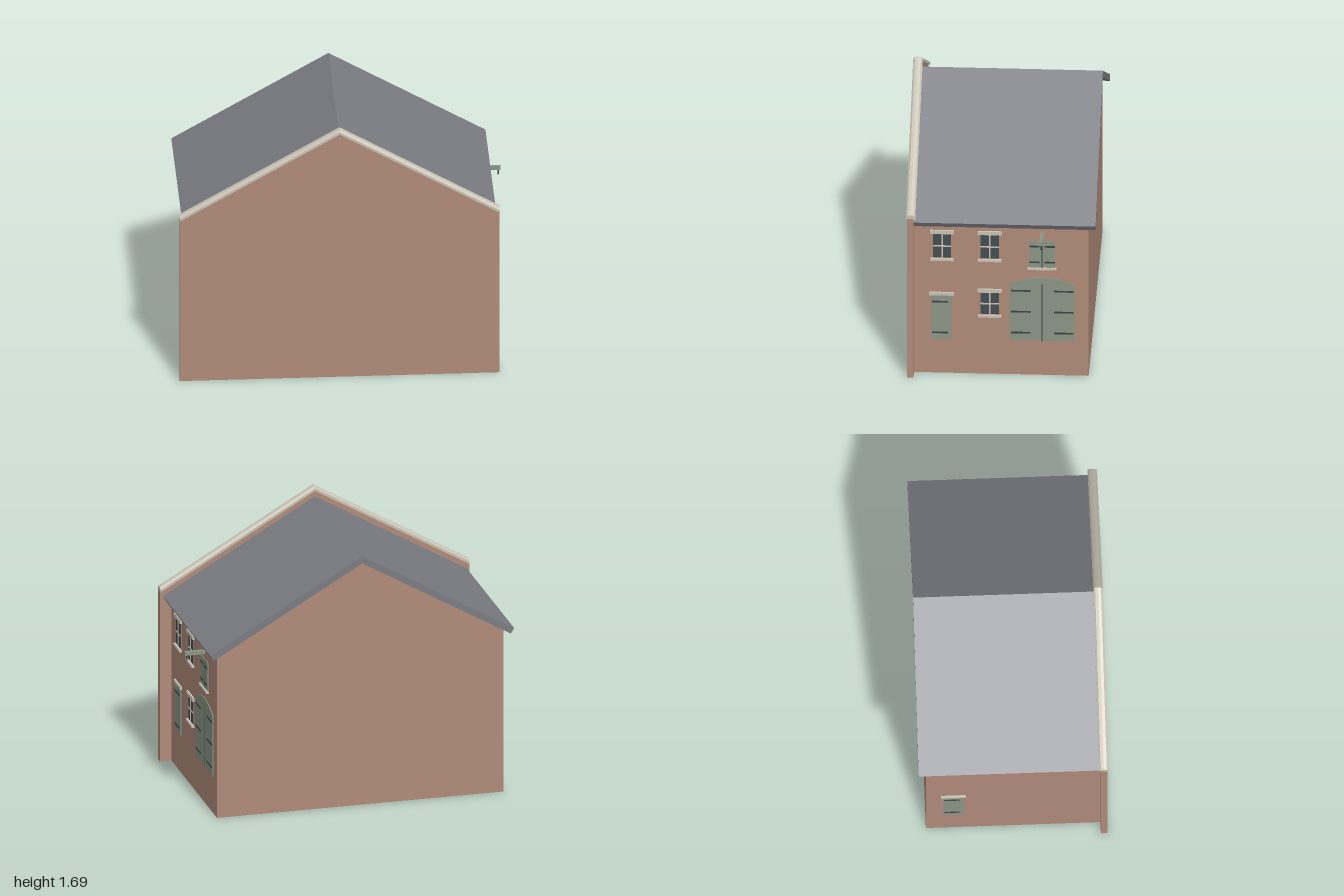
import * as THREE from 'three';

const C = -0.0275;      // centre of the house in x
const SLOPE = 0.58;     // roof pitch
const WALL = 0.9;       // half width of the walls

const mat = (name, color) => {
  const m = new THREE.MeshStandardMaterial({ color });
  m.name = name;
  return m;
};

export function createModel() {
  const brick = mat('brick', 0xb08a79);
  const slate = mat('slate', 0x7b7c83);
  const stone = mat('stone', 0xc8c3b4);
  const green = mat('greenPaint', 0x8a9585);
  const glass = mat('glass', 0x444d52);
  const iron = mat('iron', 0x3c4445);

  const house = new THREE.Group();
  house.name = 'house';
  house.position.x = C;

  const add = (parent, name, geometry, material) => {
    const mesh = new THREE.Mesh(geometry, material);
    mesh.name = name;
    parent.add(mesh);
    return mesh;
  };
  const group = (parent, name) => {
    const g = new THREE.Group();
    g.name = name;
    parent.add(g);
    return g;
  };
  const polygon = pts => new THREE.Shape(pts.map(p => new THREE.Vector2(...p)));
  const extrude = (shape, depth, steps = 1) =>
    new THREE.ExtrudeGeometry(shape, { depth, steps, bevelEnabled: false, curveSegments: 16 });

  // Gable-shaped slab between two z positions
  const gable = (name, half, apex, z0, z1) => {
    const eave = apex - SLOPE * half;
    const shape = polygon([[-half, 0], [half, 0], [half, eave], [0, apex], [-half, eave]]);
    add(house, name, extrude(shape, z1 - z0).translate(0, 0, z0), brick);
  };

  // Hollow brick shell, open underneath
  gable('backWall', WALL, 1.573, -0.53, -0.49);
  gable('frontWall', WALL, 1.573, 0.49, 0.53);
  for (const s of [1, -1]) {
    add(house, s > 0 ? 'leftWall' : 'rightWall',
      new THREE.BoxGeometry(0.04, 1.051, 0.98).translate(s * (WALL - 0.02), 0.5255, 0), brick);
  }

  // Roof: folded slab with eaves cut square to the slope
  const roof = polygon([
    [-0.935, 1.031], [0, 1.573], [0.935, 1.031],
    [0.955, 1.066], [0, 1.62], [-0.955, 1.066],
  ]);
  add(house, 'roof', extrude(roof, 1.105).translate(0, 0, -0.575), slate);

  // Raised front gable with a rounded coping that follows the pitch
  const HALF = 0.9725;
  gable('frontParapet', HALF, 1.665, 0.53, 0.57);
  const profile = polygon([
    [-0.029, -0.032], [0.029, -0.032], [0.029, -0.016], [0.018, -0.004],
    [0, 0], [-0.018, -0.004], [-0.029, -0.016],
  ]);
  const coping = extrude(profile, HALF * 2, 2).rotateY(Math.PI / 2).translate(-HALF, 1.69, 0.548);
  const pos = coping.attributes.position;
  for (let i = 0; i < pos.count; i++) {
    pos.setY(i, pos.getY(i) - SLOPE * Math.abs(pos.getX(i)));
  }
  coping.computeVertexNormals();
  add(house, 'coping', coping, stone);

  // Plate on the left wall: centre z, y range, width, and how far it stands out
  const plate = (parent, name, material, z, y0, y1, width, out) =>
    add(parent, name, new THREE.BoxGeometry(out, y1 - y0, width)
      .translate(WALL + out / 2, (y0 + y1) / 2, z), material);

  const hinge = (parent, z, y, width) =>
    plate(parent, 'hinge', iron, z, y - 0.005, y + 0.005, width, 0.009);

  // Four-pane window with lintel and sill
  const addWindow = (z, y0, y1) => {
    const g = group(house, 'window');
    plate(g, 'windowSurround', brick, z, y0, y1, 0.125, 0.002);
    plate(g, 'pane', glass, z, y0 + 0.006, y1 - 0.006, 0.11, 0.004);
    plate(g, 'verticalBar', stone, z, y0 + 0.006, y1 - 0.006, 0.009, 0.007);
    const mid = (y0 + y1) / 2;
    plate(g, 'horizontalBar', stone, z, mid - 0.0045, mid + 0.0045, 0.11, 0.007);
    plate(g, 'lintel', stone, z, y1, y1 + 0.023, 0.148, 0.012);
    plate(g, 'sill', stone, z, y0 - 0.014, y0, 0.14, 0.016);
  };
  addWindow(0.36, 0.796, 0.966);
  addWindow(0.07, 0.796, 0.966);
  addWindow(0.07, 0.41, 0.566);

  // Single door, repeated on the opposite wall
  for (const s of [1, -1]) {
    const g = group(house, s > 0 ? 'leftDoor' : 'rightDoor');
    plate(g, 'doorLeaf', green, 0.363, 0.238, 0.54, 0.126, 0.005);
    plate(g, 'lintel', stone, 0.363, 0.54, 0.56, 0.15, 0.012);
    hinge(g, 0.372, 0.495, 0.096);
    hinge(g, 0.372, 0.282, 0.096);
    if (s < 0) g.rotation.y = Math.PI;
  }

  // Arched double door
  const barn = group(house, 'barnDoor');
  const Z = -0.248;
  const arch = new THREE.Shape();
  arch.moveTo(-0.197, 0.238);
  arch.lineTo(0.197, 0.238);
  arch.lineTo(0.197, 0.628);
  arch.quadraticCurveTo(0, 0.722, -0.197, 0.628);
  add(barn, 'archedLeaves',
    extrude(arch, 0.005).rotateY(Math.PI / 2).translate(WALL, 0, Z), green);
  plate(barn, 'doorGap', iron, Z, 0.238, 0.63, 0.005, 0.007);
  for (const s of [1, -1]) {
    for (const y of [0.583, 0.438, 0.293]) hinge(barn, Z + s * 0.131, y, 0.118);
  }

  // Loft hatch with shutters
  const hatch = group(house, 'loftHatch');
  plate(hatch, 'shutters', green, Z, 0.746, 0.928, 0.158, 0.005);
  plate(hatch, 'shutterGap', iron, Z, 0.746, 0.928, 0.005, 0.007);
  plate(hatch, 'sill', stone, Z, 0.733, 0.746, 0.175, 0.016);
  for (const s of [1, -1]) {
    for (const y of [0.892, 0.783]) hinge(hatch, Z + s * 0.046, y, 0.062);
  }

  // Hoist beam and hook above the hatch
  const hoist = group(house, 'hoist');
  plate(hoist, 'hoistBeam', green, Z, 0.963, 0.987, 0.022, 1 - C - WALL);
  add(hoist, 'hoistHook',
    new THREE.CylinderGeometry(0.004, 0.004, 0.035, 8).translate(0.985 - C, 0.947, Z), iron);

  const model = new THREE.Group();
  model.name = 'gabledHouse';
  model.add(house);
  return model;
}
